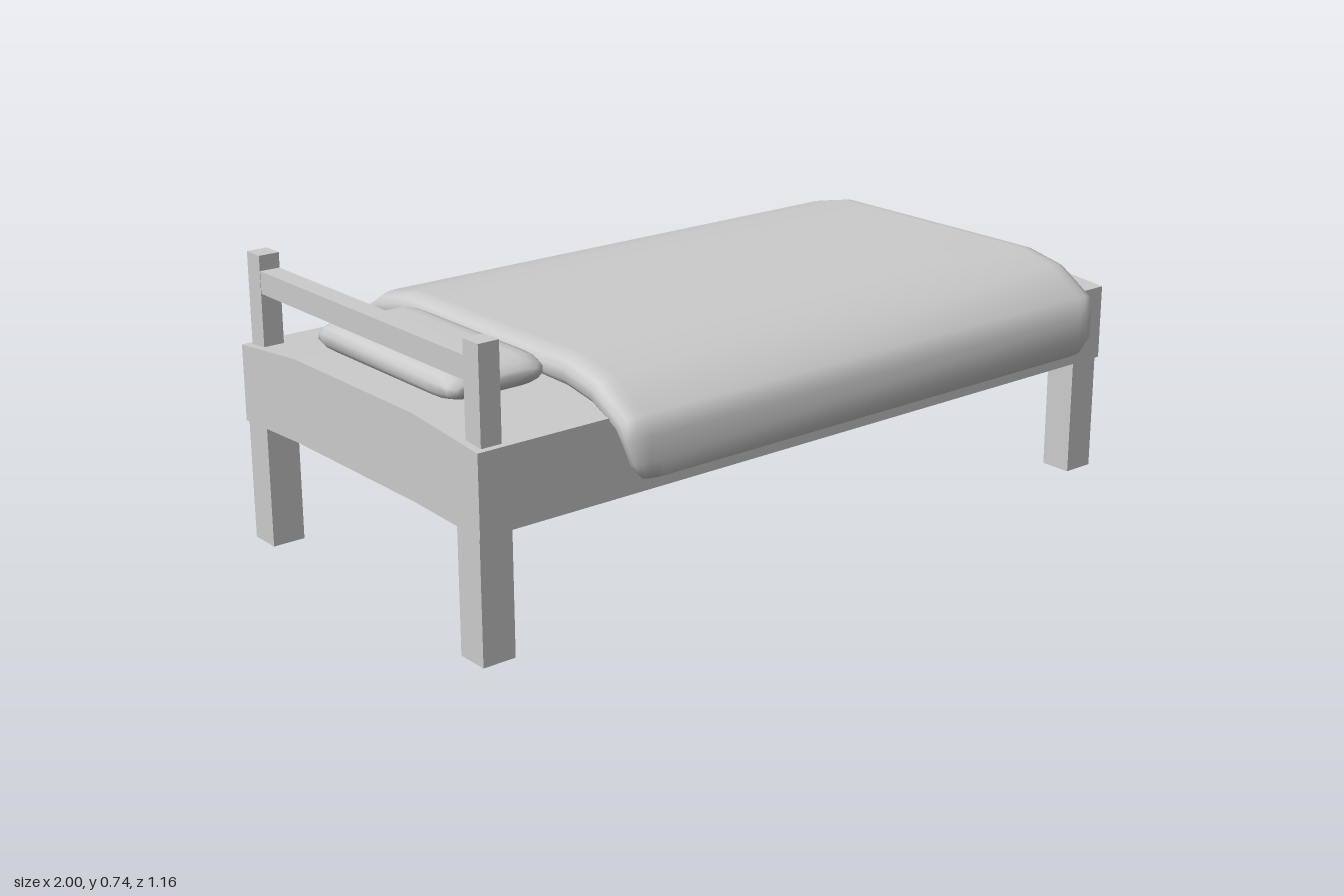
import * as THREE from 'three';

const grey = new THREE.MeshStandardMaterial({ color: 0xcccccc });

function add(group, name, geometry, x = 0, y = 0, z = 0) {
  const mesh = new THREE.Mesh(geometry, grey);
  mesh.name = name;
  mesh.position.set(x, y, z);
  group.add(mesh);
}

// Rounded edge of a padded slab: [inset from the end, fraction of half thickness]
const EDGE = [[0, -0.3], [0, 0.3], [0.012, 0.7], [0.035, 0.93], [0.06, 1]];

// Padded slab lofted along z from half a list of stations, mirrored:
// [outer z, outer y, inner z, inner y, half width]
function paddedSlab(half) {
  const mirrored = half.map(([oz, oy, iz, iy, w]) => [-oz, oy, -iz, iy, w]).reverse();
  const stations = [...mirrored, ...half];

  const right = [[0.06, -1], [0.035, -0.93], [0.012, -0.7], ...EDGE];
  const ring = [
    ...right.map(([d, n]) => [1, d, n]),
    ...right.slice().reverse().map(([d, n]) => [-1, d, n]),
  ];
  const count = ring.length;
  const positions = [];
  const index = [];
  for (const [oz, oy, iz, iy, w] of stations) {
    for (const [side, inset, n] of ring) {
      const t = (n + 1) / 2;
      positions.push(side * (w - inset), iy + (oy - iy) * t, iz + (oz - iz) * t);
    }
  }
  for (let i = 0; i < stations.length - 1; i++) {
    for (let j = 0; j < count; j++) {
      const k = (j + 1) % count;
      const a = i * count + j, b = i * count + k;
      index.push(a, b, b + count, a, b + count, a + count);
    }
  }
  // Closed ends
  const last = (stations.length - 1) * count;
  for (let j = 1; j < count - 1; j++) {
    index.push(0, j + 1, j, last, last + j, last + j + 1);
  }
  const geometry = new THREE.BufferGeometry();
  geometry.setAttribute('position', new THREE.Float32BufferAttribute(positions, 3));
  geometry.setIndex(index);
  geometry.computeVertexNormals();
  return geometry;
}

export function createModel() {
  const bed = new THREE.Group();
  bed.name = 'bed';

  // Mattress base with a gently arched top and underside
  const profile = new THREE.Shape([
    [-0.5, 0.305], [-0.25, 0.315], [0.25, 0.315], [0.5, 0.305],
    [0.5, 0.5], [0.25, 0.524], [-0.25, 0.524], [-0.5, 0.5],
  ].map(([z, y]) => new THREE.Vector2(z, y)));
  const base = new THREE.ExtrudeGeometry(profile, { depth: 2, bevelEnabled: false });
  base.translate(0, 0, -1).rotateY(Math.PI / 2);
  add(bed, 'mattress', base);

  // Legs and headboard posts
  for (const side of [1, -1]) {
    for (const x of [-0.955, 0.948]) {
      add(bed, 'leg', new THREE.BoxGeometry(0.086, 0.312, 0.085), x, 0.156, side * 0.45 + 0.003);
    }
    add(bed, 'headboardPost', new THREE.BoxGeometry(0.054, 0.235, 0.057),
      -0.954, 0.6175, side * 0.455 + 0.002);
  }
  add(bed, 'headboardRail', new THREE.BoxGeometry(0.052, 0.056, 0.86), -0.954, 0.669, 0.002);

  // Blanket draped over both long sides
  add(bed, 'blanket', paddedSlab([
    [0.25, 0.6, 0.25, 0.524, 0.78],
    [0.335, 0.6, 0.335, 0.522, 0.78],
    [0.45, 0.575, 0.425, 0.507, 0.78],
    [0.555, 0.51, 0.505, 0.465, 0.777],
    [0.567, 0.46, 0.52, 0.44, 0.77],
    [0.578, 0.405, 0.53, 0.395, 0.757],
    [0.565, 0.36, 0.538, 0.369, 0.73],
  ]), 0.13);

  // Pillow
  add(bed, 'pillow', paddedSlab([
    [0.2, 0.6, 0.2, 0.527, 0.139],
    [0.24, 0.598, 0.24, 0.528, 0.138],
    [0.27, 0.588, 0.27, 0.533, 0.13],
    [0.284, 0.575, 0.284, 0.542, 0.115],
    [0.288, 0.567, 0.288, 0.551, 0.1],
  ]), -0.79);

  return bed;
}
